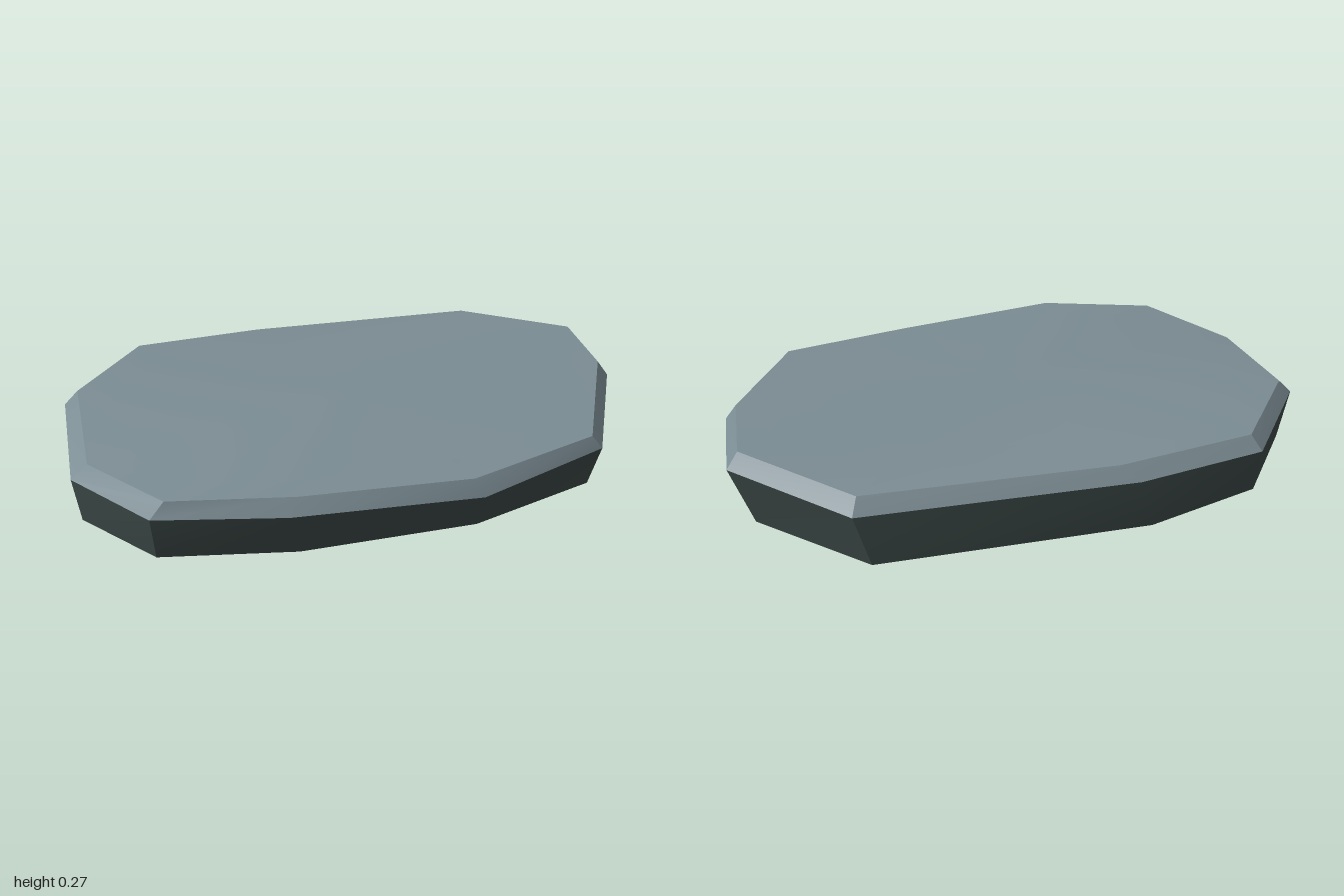
import * as THREE from 'three';
import { toCreasedNormals } from 'three/addons/utils/BufferGeometryUtils.js';

// Plan outlines as [x, y, z], clockwise from above, starting at the -x side
const base = [
  [-0.985, 0, -0.19], [-0.76, 0, -0.5], [-0.35, 0, -0.625], [0.58, 0, -0.635],
  [0.93, 0, -0.32], [0.94, 0, 0], [0.79, 0, 0.38], [0.33, 0, 0.53],
  [-0.28, 0, 0.55], [-0.74, 0, 0.48], [-0.97, 0, 0.22],
];
const rim = [
  [-1, 0.205, -0.22], [-0.74, 0.2, -0.57], [-0.3, 0.185, -0.635], [0.63, 0.185, -0.63],
  [1, 0.215, -0.32], [1, 0.215, 0.01], [0.8, 0.183, 0.44], [0.33, 0.155, 0.595],
  [-0.32, 0.2, 0.63], [-0.75, 0.178, 0.52], [-0.99, 0.16, 0.21],
];
const crown = [
  [-0.95, 0.255, -0.22], [-0.71, 0.25, -0.535], [-0.24, 0.237, -0.6], [0.61, 0.237, -0.59],
  [0.96, 0.268, -0.3], [0.96, 0.27, 0], [0.76, 0.235, 0.435], [0.3, 0.217, 0.57],
  [-0.29, 0.255, 0.6], [-0.7, 0.24, 0.515], [-0.93, 0.217, 0.215],
];

// Shrinks a ring toward the middle while easing its height to the centre level
const inset = (ring, s, level) =>
  ring.map(([x, y, z]) => [x * s, y + (level - y) * (1 - s * s), z * s]);

// Skins successive rings from low to high, closing with an optional top centre
function skin(rings, centre) {
  const p = [];
  const n = rings[0].length;
  for (let r = 0; r < rings.length - 1; r++) {
    const [lo, up] = [rings[r], rings[r + 1]];
    for (let i = 0; i < n; i++) {
      const j = (i + 1) % n;
      p.push(...lo[j], ...lo[i], ...up[i], ...lo[j], ...up[i], ...up[j]);
    }
  }
  const last = rings[rings.length - 1];
  if (centre) for (let i = 0; i < n; i++) p.push(...last[(i + 1) % n], ...last[i], ...centre);
  const geometry = new THREE.BufferGeometry();
  geometry.setAttribute('position', new THREE.Float32BufferAttribute(p, 3));
  return toCreasedNormals(geometry, 0.4);
}

export function createModel() {
  const group = new THREE.Group();
  group.name = 'stoneSlab';
  const darkStone = new THREE.MeshStandardMaterial({ name: 'dark stone', color: 0x3c4947 });
  const paleStone = new THREE.MeshStandardMaterial({ name: 'pale stone', color: 0x7b8c93 });
  const add = (name, geometry, material) => {
    const mesh = new THREE.Mesh(geometry, material);
    mesh.name = name;
    group.add(mesh);
  };

  // Dark side walls and flat underside
  add('sideWall', skin([base, rim]), darkStone);
  add('underside', skin([[...base].reverse()], [0, 0, 0]), darkStone);

  // Chamfered edge around the top
  add('bevel', skin([rim, crown]), paleStone);

  // Gently domed walking surface
  const level = 0.267;
  const rings = [1, 0.85, 0.65, 0.35].map((s) => inset(crown, s, level));
  add('topSurface', skin(rings, [0, level, 0]), paleStone);

  return group;
}
